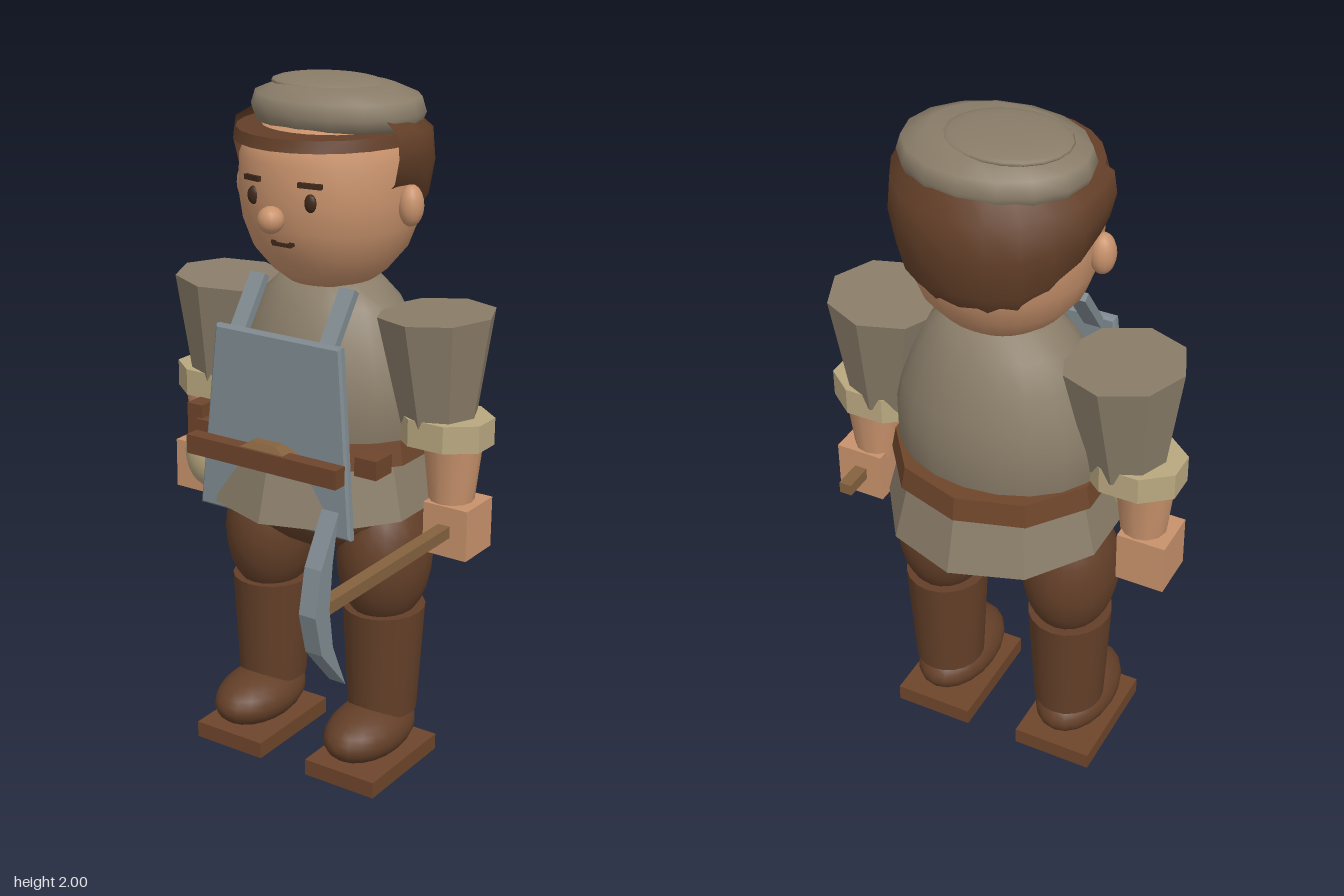
import * as THREE from 'three';
import { toCreasedNormals } from 'three/addons/utils/BufferGeometryUtils.js';

const mat = (name, color, side = THREE.FrontSide) => {
  const m = new THREE.MeshStandardMaterial({ color, side });
  m.name = name;
  return m;
};

export function createModel() {
  const root = new THREE.Group();
  root.name = 'miner';
  const leather = mat('brown leather', 0x633f28, THREE.DoubleSide);
  const belt = mat('belt brown', 0x6e452b);
  const cloth = mat('taupe cloth', 0x8a7d69);
  const steel = mat('blue grey', 0x7f8a90);
  const skin = mat('skin', 0xc8926c);
  const tan = mat('tan', 0xb9a880);
  const wood = mat('wood', 0x84623e);
  const dark = mat('dark brown', 0x3f281a);

  const add = (name, geo, material, x = 0, y = 0, z = 0, parent = root) => {
    const mesh = new THREE.Mesh(geo, material);
    mesh.name = name;
    mesh.position.set(x, y, z);
    parent.add(mesh);
    return mesh;
  };
  const box = (w, h, d) => new THREE.BoxGeometry(w, h, d);
  const ball = (rx, ry, rz, n = 20) => new THREE.SphereGeometry(1, n, Math.ceil(n * 0.7)).scale(rx, ry, rz);
  const creased = (geo, angle = 0.7) => toCreasedNormals(geo, angle);
  const faceted = (geo) => creased(geo, 0.1);
  const lathe = (pts, sides, zScale = 1) =>
    new THREE.LatheGeometry(pts.map(([r, y]) => new THREE.Vector2(r, y)), sides).scale(1, 1, zScale);
  const extrude = (pts, depth, bevel) =>
    new THREE.ExtrudeGeometry(new THREE.Shape(pts.map(([x, y]) => new THREE.Vector2(x, y))),
      { depth, bevelEnabled: bevel > 0, bevelSize: bevel, bevelThickness: bevel, bevelSegments: 1 });

  // Legs, boots and arms, mirrored
  for (const s of [1, -1]) {
    const side = s > 0 ? 'left' : 'right';
    const leg = new THREE.Group();
    leg.name = side + 'Leg';
    root.add(leg);
    add('sole', box(0.235, 0.05, 0.35), belt, s * 0.198, 0.025, -0.14, leg);
    add('bootFoot', ball(0.112, 0.082, 0.182), leather, s * 0.198, 0.122, -0.13, leg);
    add('bootShaft', creased(new THREE.CylinderGeometry(0.118, 0.1, 0.33, 20)), leather, s * 0.198, 0.335, -0.198, leg)
      .scale.z = 1.06;
    add('thigh', ball(0.134, 0.21, 0.152), leather, s * 0.198, 0.655, -0.196, leg);

    const arm = new THREE.Group();
    arm.name = side + 'Arm';
    root.add(arm);
    add('sleeve', faceted(new THREE.CylinderGeometry(0.166, 0.104, 0.32, 8)), cloth, s * 0.352, 1.24, -0.203, arm)
      .rotation.z = s * 0.05;
    add('cuff', faceted(new THREE.CylinderGeometry(1, 1, 0.078, 8).rotateY(Math.PI / 8).scale(0.144, 1, 0.113)),
      tan, s * 0.38, 1.082, -0.2, arm);
    add('forearm', creased(new THREE.CylinderGeometry(0.084, 0.062, 0.2, 12)), skin, s * 0.412, 0.96, -0.195, arm);
    add('hand', box(0.138, 0.148, 0.14), skin, s * 0.433, 0.806, -0.195, arm);
  }
  add('pelvis', ball(0.28, 0.165, 0.19), leather, 0, 0.815, -0.19);

  // Tunic and belt
  add('tunicBody', creased(lathe(
    [[0.28, 0.98], [0.3, 1.06], [0.3, 1.15], [0.285, 1.23], [0.25, 1.32], [0.205, 1.4], [0.15, 1.455], [0, 1.47]],
    20, 0.78), 1), cloth, 0, 0, -0.21);
  add('tunicSkirt', faceted(new THREE.CylinderGeometry(0.86, 1, 0.18, 10).scale(0.332, 1, 0.345)),
    cloth, 0, 0.91, -0.195);
  add('beltBand', faceted(new THREE.CylinderGeometry(0.96, 1, 0.065, 10).scale(0.315, 1, 0.295)),
    belt, 0, 1.006, -0.208);
  add('beltFront', box(0.5, 0.055, 0.045), belt, 0, 1.002, 0.122);
  add('buckle', faceted(new THREE.CylinderGeometry(0.045, 0.09, 0.025, 4, 1).rotateY(Math.PI / 4).scale(1.3, 1, 0.5)),
    wood, 0, 1.035, 0.108);
  for (const s of [1, -1]) add('beltLoop', box(0.07, 0.055, 0.08), belt, s * 0.27, 1.004, -0.01);

  // Apron with shoulder straps, and tunic buttons behind it
  add('apron', creased(extrude([[-0.248, -0.262], [0.248, -0.262], [0.2, 0.262], [-0.2, 0.262]], 0.016, 0.007), 0.3),
    steel, 0, 1.07, 0.049).rotation.x = -0.028;
  for (const s of [1, -1])
    add('apronStrap', box(0.05, 0.175, 0.025), steel, s * 0.148, 1.39, -0.018).rotation.x = -0.62;
  for (const y of [1.13, 1.23, 1.3]) add('button', ball(0.016, 0.016, 0.012, 10), dark, 0, y, y > 1.25 ? 0.012 : 0.024);

  // Hip pouch
  add('pouch', ball(0.078, 0.113, 0.077), tan, -0.322, 0.903, -0.065);
  add('pouchLoop', box(0.052, 0.1, 0.06), belt, -0.317, 1.02, -0.01);

  // Head and face
  add('head', lathe(
    [[0, 1.435], [0.12, 1.45], [0.165, 1.485], [0.215, 1.545], [0.243, 1.62], [0.255, 1.7], [0.252, 1.8], [0.225, 1.87], [0, 1.93]],
    28), skin, 0, 0, -0.2);
  add('nose', ball(0.037, 0.037, 0.037, 14), skin, 0, 1.664, 0.086);
  for (const s of [1, -1]) {
    add('ear', ball(0.034, 0.057, 0.038, 14), skin, s * 0.267, 1.687, -0.183);
    add('eye', ball(0.018, 0.025, 0.012, 12), dark, s * 0.092, 1.71, 0.036);
    add('eyebrow', box(0.066, 0.014, 0.014), dark, s * 0.092, 1.757, 0.038).rotation.set(0, s * 0.35, s * -0.05);
  }
  add('mouth', box(0.06, 0.01, 0.009), dark, 0, 1.586, 0.033);
  for (const s of [1, -1]) add('mouthCorner', box(0.014, 0.01, 0.009), dark, s * 0.029, 1.59, 0.031);

  // Hair wraps the back of the head, its lower edge rising towards the temples
  const hair = new THREE.LatheGeometry(
    [[0.225, 1.59], [0.262, 1.65], [0.278, 1.76], [0.27, 1.86], [0.2, 1.93]].map(([r, y]) => new THREE.Vector2(r, y)),
    12, Math.PI * 0.4, Math.PI * 1.2);
  const hp = hair.attributes.position;
  for (let i = 0; i < hp.count; i++) {
    const x = hp.getX(i), z = hp.getZ(i);
    const back = Math.max(0, -z / Math.hypot(x, z));
    const y = 1.92 - (1.92 - hp.getY(i)) * (0.62 + 0.38 * Math.min(1, back * 1.2));
    hp.setXYZ(i, x * 1.02, y, z * (z < 0 ? 1.02 : 1));
  }
  hair.computeVertexNormals();
  add('hair', hair, leather, 0, 0, -0.2);

  // Cap: visor, soft crown and top fold
  add('capVisor', creased(new THREE.CylinderGeometry(0.97, 1, 0.032, 12, 1, false, -Math.PI / 2, Math.PI)
    .scale(0.255, 1, 0.293)), leather, 0, 1.863, -0.2);
  add('capCrown', lathe(
    [[0.2, 1.865], [0.238, 1.88], [0.253, 1.915], [0.24, 1.955], [0.17, 1.982], [0, 1.99]], 16, 0.82),
    cloth, 0, 0, -0.228);
  add('capFold', ball(0.165, 0.02, 0.135), cloth, -0.04, 1.98, -0.24);

  // Pickaxe held in the left hand
  const pick = new THREE.Group();
  pick.name = 'pickaxe';
  root.add(pick);
  add('handle', box(0.037, 0.034, 0.83), wood, 0.431, 0.808, 0.065, pick);
  const blade = extrude([[0.44, 1.06], [0.465, 0.93], [0.477, 0.81], [0.46, 0.7], [0.4, 0.57],
    [0.51, 0.695], [0.54, 0.81], [0.515, 0.93]], 0.05, 0);
  add('pickHead', faceted(blade.rotateY(-Math.PI / 2)), steel, 0.456, 0, 0, pick);
  return root;
}
